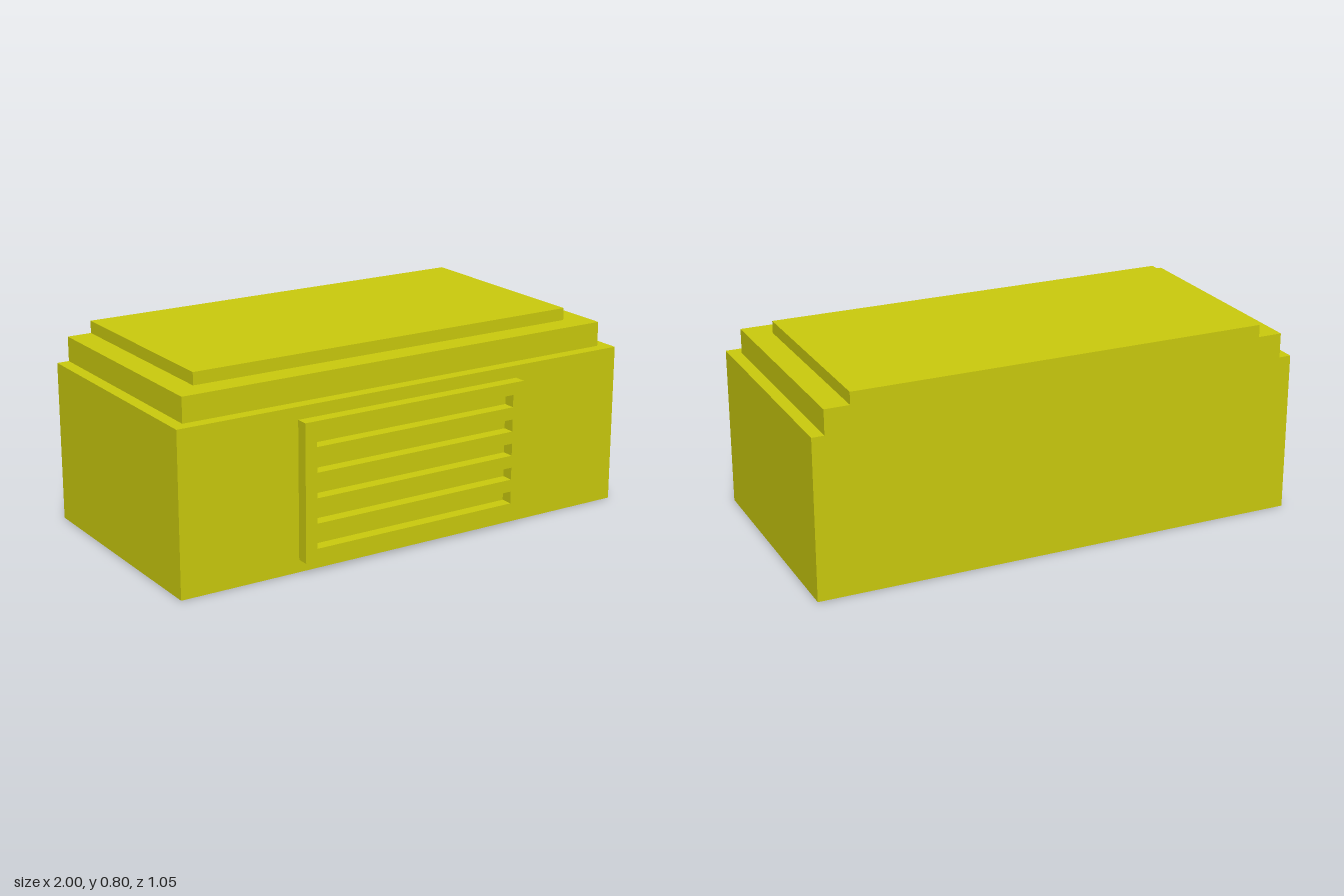
import * as THREE from 'three';

const BACK = -0.525;

// Traces a rectangle onto a Shape or Path
function rect(path, x0, y0, x1, y1) {
  path.moveTo(x0, y0);
  path.lineTo(x1, y0);
  path.lineTo(x1, y1);
  path.lineTo(x0, y1);
  path.closePath();
  return path;
}

export function createModel() {
  const group = new THREE.Group();
  const yellow = new THREE.MeshStandardMaterial({ color: 0xcaca0d });
  yellow.name = 'mustard yellow';

  // Stepped housing: tiers share a flush back wall
  const tiers = [
    { name: 'body', halfWidth: 1, y0: 0, y1: 0.65, front: 0.475 },
    { name: 'upperStep', halfWidth: 0.95, y0: 0.65, y1: 0.75, front: 0.425 },
    { name: 'topPlate', halfWidth: 0.85, y0: 0.75, y1: 0.8, front: 0.325 },
  ];
  for (const { name, halfWidth, y0, y1, front } of tiers) {
    const mesh = new THREE.Mesh(new THREE.BoxGeometry(halfWidth * 2, y1 - y0, front - BACK), yellow);
    mesh.name = name;
    mesh.position.set(0, (y0 + y1) / 2, (front + BACK) / 2);
    group.add(mesh);
  }

  // Front vent panel with five horizontal slots
  const panel = rect(new THREE.Shape(), -0.5, 0.05, 0.5, 0.6);
  for (let i = 0; i < 5; i++) {
    const y = 0.1 + i * 0.1;
    panel.holes.push(rect(new THREE.Path(), -0.45, y, 0.45, y + 0.05));
  }
  const grille = new THREE.Mesh(
    new THREE.ExtrudeGeometry(panel, { depth: 0.05, bevelEnabled: false }), yellow);
  grille.name = 'ventGrille';
  grille.position.z = 0.475;
  group.add(grille);

  return group;
}
